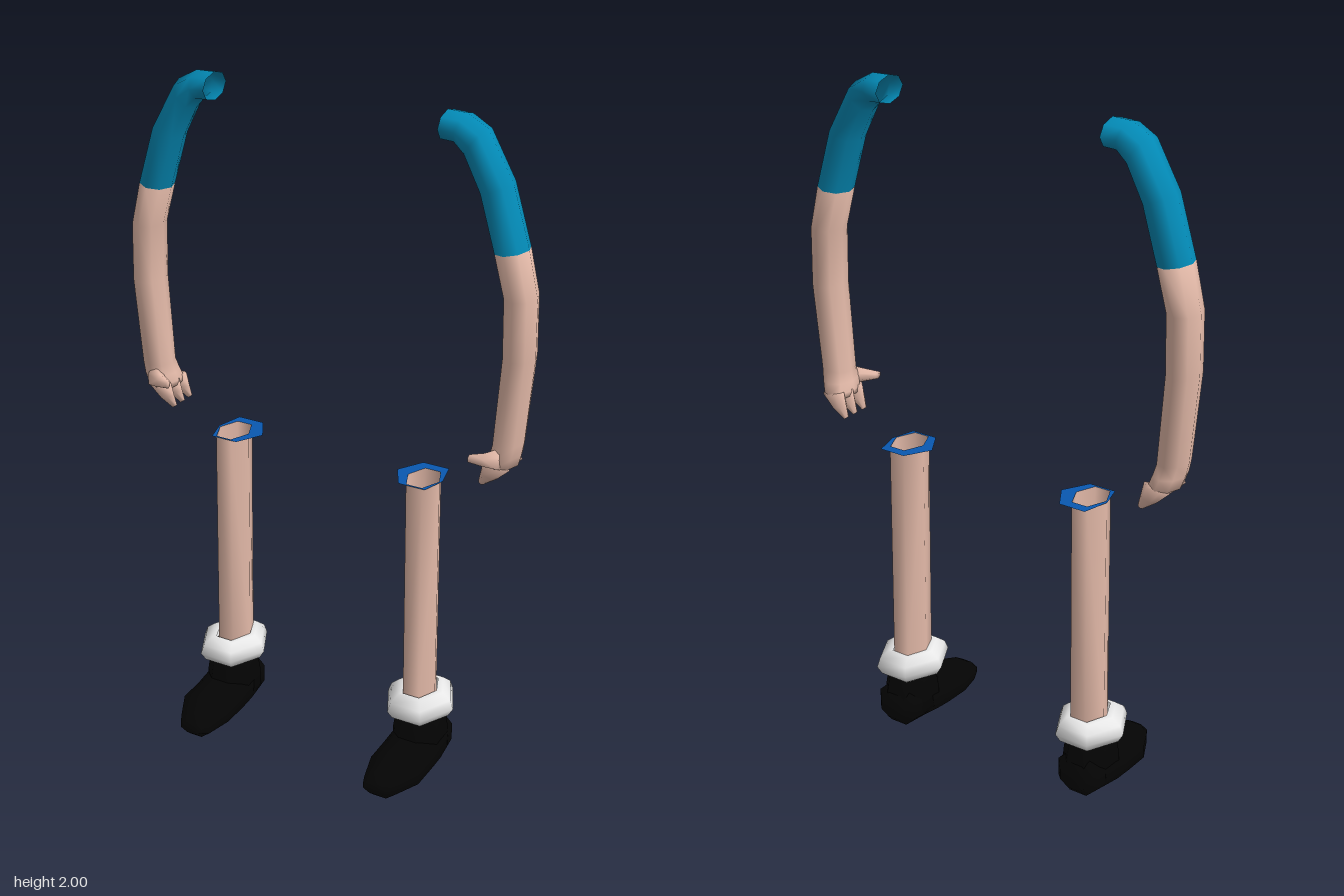
import * as THREE from 'three';

const mat = (name, color, side = THREE.FrontSide) => {
  const m = new THREE.MeshStandardMaterial({ color, side });
  m.name = name;
  return m;
};

// Cross-section spanning an outer and an inner point in the xy plane, with a half depth in z
const span = (ox, oy, ix, iy, z, rz) => ({
  c: [(ox + ix) / 2, (oy + iy) / 2, z],
  u: [(ox - ix) / 2, (oy - iy) / 2, 0],
  v: [0, 0, rz],
});
// Level cross-section
const level = (x, y, z, rx, rz) => ({ c: [x, y, z], u: [rx, 0, 0], v: [0, 0, rz] });
// Upright cross-section, for the foot
const upright = (x, z, w, y0, y1) => ({ c: [x, (y0 + y1) / 2, z], u: [w, 0, 0], v: [0, (y1 - y0) / 2, 0] });

// Skin over a row of cross-sections; side -1 mirrors it in x
function loft(sections, { n = 8, side = 1, caps = false, flats = false } = {}) {
  const pos = [], idx = [];
  const phase = flats ? Math.PI / n : 0;
  const grow = flats ? 1 / Math.cos(Math.PI / n) : 1;
  const put = (p) => pos.push(p[0] * side, p[1], p[2]);
  const tri = (a, b, c) => (side > 0 ? idx.push(a, b, c) : idx.push(a, c, b));
  for (const { c, u, v } of sections) {
    for (let j = 0; j < n; j++) {
      const a = phase + (j / n) * Math.PI * 2;
      const cu = Math.cos(a) * grow, sv = Math.sin(a) * grow;
      put([0, 1, 2].map((k) => c[k] + u[k] * cu + v[k] * sv));
    }
  }
  for (let i = 0; i + 1 < sections.length; i++) {
    for (let j = 0; j < n; j++) {
      const a = i * n + j, b = i * n + ((j + 1) % n);
      tri(a, b, b + n);
      tri(a, b + n, a + n);
    }
  }
  if (caps) {
    const last = (sections.length - 1) * n, c0 = sections.length * n;
    put(sections[0].c);
    put(sections[sections.length - 1].c);
    for (let j = 0; j < n; j++) {
      const k = (j + 1) % n;
      tri(c0, k, j);
      tri(c0 + 1, last + j, last + k);
    }
  }
  const g = new THREE.BufferGeometry();
  g.setAttribute('position', new THREE.Float32BufferAttribute(pos, 3));
  g.setIndex(idx);
  g.computeVertexNormals();
  return g;
}

// Flat plate with a hole, from [x, z] outlines at height y
function plate(outline, hole, y, side) {
  const points = (list) => list.map(([x, z]) => new THREE.Vector2(x * side, -z));
  const shape = new THREE.Shape(points(outline));
  shape.holes.push(new THREE.Path(points(hole)));
  return new THREE.ShapeGeometry(shape).rotateX(-Math.PI / 2).translate(0, y, 0);
}

export function createModel() {
  const model = new THREE.Group();
  model.name = 'limbs';
  const skin = mat('skin', 0xe4baa9, THREE.DoubleSide);
  const teal = mat('sleeveTeal', 0x038ab6, THREE.DoubleSide);
  const blue = mat('hemBlue', 0x0a58b0, THREE.DoubleSide);
  const white = mat('cuffWhite', 0xe8e8e8, THREE.DoubleSide);
  const black = mat('bootBlack', 0x040404);

  for (const side of [1, -1]) {
    const prefix = side > 0 ? 'left' : 'right';
    const arm = new THREE.Group(), leg = new THREE.Group();
    arm.name = prefix + 'Arm';
    leg.name = prefix + 'Leg';
    model.add(arm, leg);
    const addMesh = (group, name, material, geometry) => {
      const mesh = new THREE.Mesh(geometry, material);
      mesh.name = name;
      group.add(mesh);
    };
    const add = (group, name, material, sections, options = {}) =>
      addMesh(group, name, material, loft(sections, { side, ...options }));

    // Sleeve from the open shoulder to above the elbow
    const Z = -0.081, R = 0.059;
    const elbow = span(0.6, 1.66, 0.506, 1.645, Z, R);
    add(arm, 'sleeve', teal, [
      span(0.354, 2.0, 0.354, 1.92, Z, R),
      span(0.41, 1.998, 0.39, 1.918, Z, R),
      span(0.47, 1.966, 0.415, 1.89, Z, R),
      span(0.548, 1.83, 0.46, 1.8, Z, R),
      elbow,
    ]);

    // Bare forearm running into the palm
    add(arm, 'forearm', skin, [
      elbow,
      span(0.63, 1.53, 0.538, 1.53, Z, R),
      span(0.633, 1.36, 0.542, 1.36, Z, R),
      span(0.612, 1.11, 0.522, 1.1, Z, 0.053),
      span(0.604, 1.07, 0.515, 1.07, -0.084, 0.06),
      span(0.593, 1.035, 0.508, 1.045, -0.091, 0.063),
      span(0.56, 1.015, 0.51, 1.03, -0.093, 0.052),
    ], { caps: true });

    // Three fingers curling inward
    for (const [z, tip] of [[-0.05, -0.055], [-0.094, -0.097], [-0.134, -0.137]]) {
      add(arm, 'finger', skin, [
        span(0.587, 1.035, 0.508, 1.05, z, 0.023),
        span(0.55, 1.0, 0.5, 1.012, (z + tip) / 2, 0.018),
        span(0.507, 0.971, 0.493, 0.981, tip, 0.007),
      ], { n: 6, caps: true });
    }

    // Thumb
    add(arm, 'thumb', skin, [
      span(0.565, 1.03, 0.565, 1.1, -0.05, 0.04),
      span(0.525, 1.045, 0.525, 1.086, -0.02, 0.024),
      span(0.487, 1.056, 0.487, 1.08, -0.003, 0.013),
    ], { n: 6, caps: true });

    // Six-sided open leg
    const rx = 0.05, rz = 0.069, legX = 0.312, legZ = -0.083, legTop = 0.93;
    add(leg, 'shin', skin, [
      level(legX, legTop, legZ, rx, rz),
      level(0.318, 0.2, legZ, rx, rz),
    ], { n: 6 });

    // Flat hem around the top of the leg, wider on the inner side and at the back
    const rim = [0, 1, 2, 3, 4, 5].map((k) => [
      legX + 0.97 * rx * Math.cos((k * Math.PI) / 3),
      legZ + 0.97 * rz * Math.sin((k * Math.PI) / 3),
    ]);
    const hemOutline = [[0.222, -0.095], [0.266, -0.171], [0.348, -0.171], [0.368, -0.09], [0.348, -0.018], [0.266, -0.018]];
    addMesh(leg, 'hem', blue, plate(hemOutline, rim, legTop, side));

    // Puffy ankle cuff
    add(leg, 'cuff', white, [
      level(0.322, 0.25, -0.08, 0.052, 0.072),
      level(0.322, 0.25, -0.08, 0.072, 0.087),
      level(0.323, 0.23, -0.079, 0.097, 0.114),
      level(0.323, 0.203, -0.078, 0.107, 0.124),
      level(0.323, 0.177, -0.079, 0.092, 0.107),
      level(0.322, 0.161, -0.08, 0.062, 0.08),
    ], { n: 6 });

    // Boot shaft
    add(leg, 'bootShaft', black, [
      level(0.325, 0.205, -0.08, 0.06, 0.07),
      level(0.325, 0.155, -0.08, 0.067, 0.078),
      level(0.325, 0.11, -0.08, 0.073, 0.086),
      level(0.325, 0.05, -0.08, 0.074, 0.086),
    ], { caps: true, flats: true });

    // Boot foot, heel to toe
    add(leg, 'bootFoot', black, [
      upright(0.327, -0.176, 0.045, 0.035, 0.095),
      upright(0.327, -0.15, 0.068, 0.008, 0.14),
      upright(0.327, -0.06, 0.077, 0, 0.125),
      upright(0.326, 0.0, 0.078, 0, 0.11),
      upright(0.326, 0.085, 0.078, 0, 0.101),
      upright(0.317, 0.16, 0.05, 0.002, 0.081),
      upright(0.314, 0.188, 0.037, 0.026, 0.063),
    ], { caps: true, flats: true });
  }
  return model;
}
